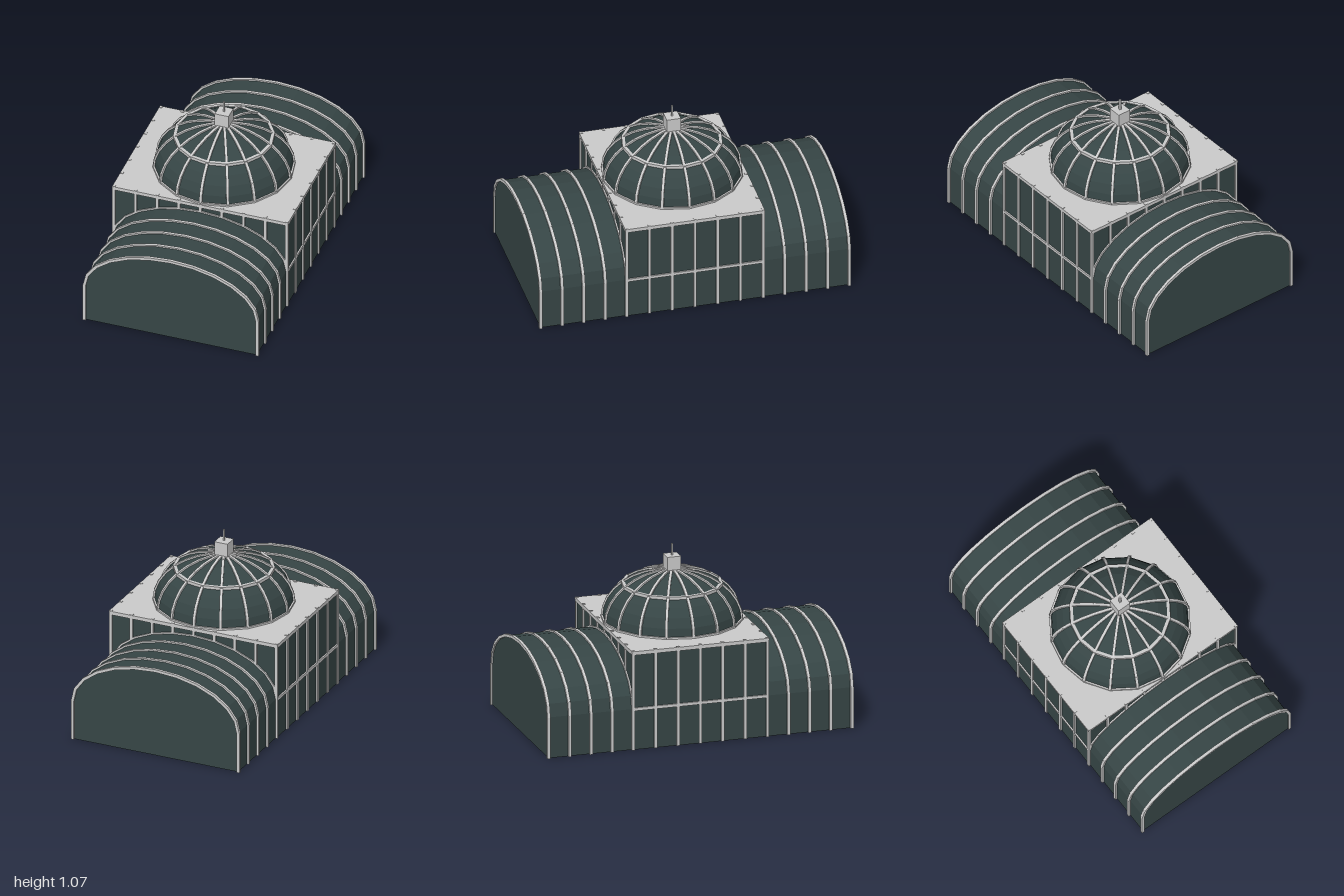
import * as THREE from 'three';
import { mergeGeometries } from 'three/addons/utils/BufferGeometryUtils.js';

const V = (x, y, z) => new THREE.Vector3(x, y, z);
const frame = new THREE.MeshStandardMaterial({ color: 0xcacaca, flatShading: true });
frame.name = 'pale frame';
const glass = new THREE.MeshStandardMaterial({ color: 0x364545, flatShading: true, side: THREE.DoubleSide });
glass.name = 'dark glass';

const HX = 0.537, HZ = 0.413, END = 0.934; // half sizes of hall, end of wings
const SPRING = 0.25, RISE = 0.30, ROOF = 0.605, BAR = 0.018;

function add(parent, name, geometry, material) {
  const m = new THREE.Mesh(geometry, material);
  m.name = name;
  parent.add(m);
  return m;
}

// square bar between two points; "across" sets one side of its section
function bar(a, b, across, size = BAR, extra = 0) {
  const dir = b.clone().sub(a), len = dir.length();
  dir.normalize();
  const side = across.clone().addScaledVector(dir, -across.dot(dir)).normalize();
  const third = side.clone().cross(dir);
  const g = new THREE.BoxGeometry(size, len + extra, size);
  const m = new THREE.Matrix4().makeBasis(side, dir, third);
  m.setPosition(a.clone().add(b).multiplyScalar(0.5));
  return g.applyMatrix4(m);
}

// bars following a list of points
function chain(points, across, size = BAR) {
  const out = [];
  for (let i = 1; i < points.length; i++) out.push(bar(points[i - 1], points[i], across, size, 0.003));
  return out;
}

// upright sides with an elliptical arch
function archProfile(z) {
  const pts = [V(HX, 0, z)];
  for (let i = 0; i <= 12; i++) {
    const a = (i / 12) * Math.PI;
    pts.push(V(HX * Math.cos(a), SPRING + RISE * Math.sin(a), z));
  }
  pts.push(V(-HX, 0, z));
  return pts;
}

function makeWing(s) {
  const wing = new THREE.Group();
  wing.name = s > 0 ? 'frontWing' : 'backWing';
  // vaulted glass shell
  const prof = archProfile(0), n = prof.length;
  const shell = new THREE.PlaneGeometry(1, 1, n - 1, 1);
  const pos = shell.attributes.position;
  for (let i = 0; i < pos.count; i++) {
    const p = prof[i % n];
    pos.setXYZ(i, p.x * 0.994, p.y, s * (i < n ? HZ : END));
  }
  shell.computeVertexNormals();
  add(wing, 'vaultGlass', shell, glass);
  // end wall
  const shape = new THREE.Shape(prof.map(p => new THREE.Vector2(p.x * 0.994, p.y)));
  const cap = add(wing, 'endWall', new THREE.ShapeGeometry(shape), glass);
  cap.position.z = s * END;
  if (s < 0) cap.rotation.y = Math.PI;
  // arched ribs
  const ribs = [];
  for (let i = 0; i < 5; i++) {
    const z = s * (HZ + (END - HZ) * i / 4);
    ribs.push(...chain(archProfile(z), V(0, 0, 1)));
  }
  add(wing, 'archRibs', mergeGeometries(ribs), frame);
  return wing;
}

function makeHall() {
  const hall = new THREE.Group();
  hall.name = 'centralHall';
  const walls = [], bars = [];
  for (const s of [-1, 1]) {
    const end = new THREE.PlaneGeometry(2 * HX, ROOF - 0.01);
    if (s < 0) end.rotateY(Math.PI);
    walls.push(end.translate(0, (ROOF - 0.01) / 2, s * HZ));
    const side = new THREE.PlaneGeometry(2 * HZ, ROOF - 0.01).rotateY(s * Math.PI / 2);
    walls.push(side.translate(s * HX, (ROOF - 0.01) / 2, 0));
    // uprights
    for (let i = 0; i <= 8; i++) {
      const x = HX * (i / 4 - 1);
      bars.push(bar(V(x, 0, s * HZ), V(x, 0.61, s * HZ), V(1, 0, 0)));
    }
    for (let i = 1; i < 6; i++) {
      const z = HZ * (i / 3 - 1);
      bars.push(bar(V(s * HX, 0, z), V(s * HX, 0.61, z), V(1, 0, 0)));
    }
    // rails
    for (const y of [SPRING, 0.593]) {
      bars.push(bar(V(-HX, y, s * HZ), V(HX, y, s * HZ), V(0, 1, 0)));
      bars.push(bar(V(s * HX, y, -HZ), V(s * HX, y, HZ), V(0, 1, 0)));
    }
  }
  add(hall, 'hallGlass', mergeGeometries(walls), glass);
  add(hall, 'hallFrame', mergeGeometries(bars), frame);
  const roof = add(hall, 'flatRoof', new THREE.BoxGeometry(2 * HX + 0.02, 0.012, 2 * HZ + 0.02), frame);
  roof.position.y = ROOF - 0.004;
  return hall;
}

function makeDome() {
  const dome = new THREE.Group();
  dome.name = 'dome';
  const R = 0.41, H = 0.3, N = 16, base = 0.608;
  const at = (lat, lon) => V(R * Math.cos(lat) * Math.cos(lon), base + H * Math.sin(lat), R * Math.cos(lat) * Math.sin(lon));
  // glass shell
  const prof = [];
  for (let i = 0; i <= 8; i++) {
    const p = at(i / 8 * Math.PI / 2, 0);
    prof.push(new THREE.Vector2(Math.max(p.x, 0), p.y));
  }
  const shell = add(dome, 'domeGlass', new THREE.LatheGeometry(prof, N), glass);
  shell.rotation.y = 0;
  // ribs and rings
  const bars = [];
  for (let j = 0; j < N; j++) {
    const a = j / N * Math.PI * 2, b = (j + 1) / N * Math.PI * 2;
    const pts = [];
    for (let i = 0; i <= 8; i++) pts.push(at(i / 8 * Math.PI / 2, a));
    bars.push(...chain(pts, V(-Math.sin(a), 0, Math.cos(a)), 0.017));
    for (const lat of [0, Math.PI / 4]) bars.push(bar(at(lat, a), at(lat, b), V(0, 1, 0), 0.019, 0.003));
  }
  add(dome, 'domeFrame', mergeGeometries(bars), frame);
  // lantern and spike
  add(dome, 'lantern', new THREE.BoxGeometry(0.085, 0.09, 0.085), frame).position.y = 0.95;
  add(dome, 'spike', new THREE.BoxGeometry(0.011, 0.07, 0.011), frame).position.y = 1.03;
  return dome;
}

export function createModel() {
  const model = new THREE.Group();
  model.name = 'glasshouse';
  const building = new THREE.Group();
  building.name = 'building';
  building.rotation.y = -0.118;
  building.add(makeHall(), makeWing(1), makeWing(-1), makeDome());
  model.add(building);
  return model;
}
